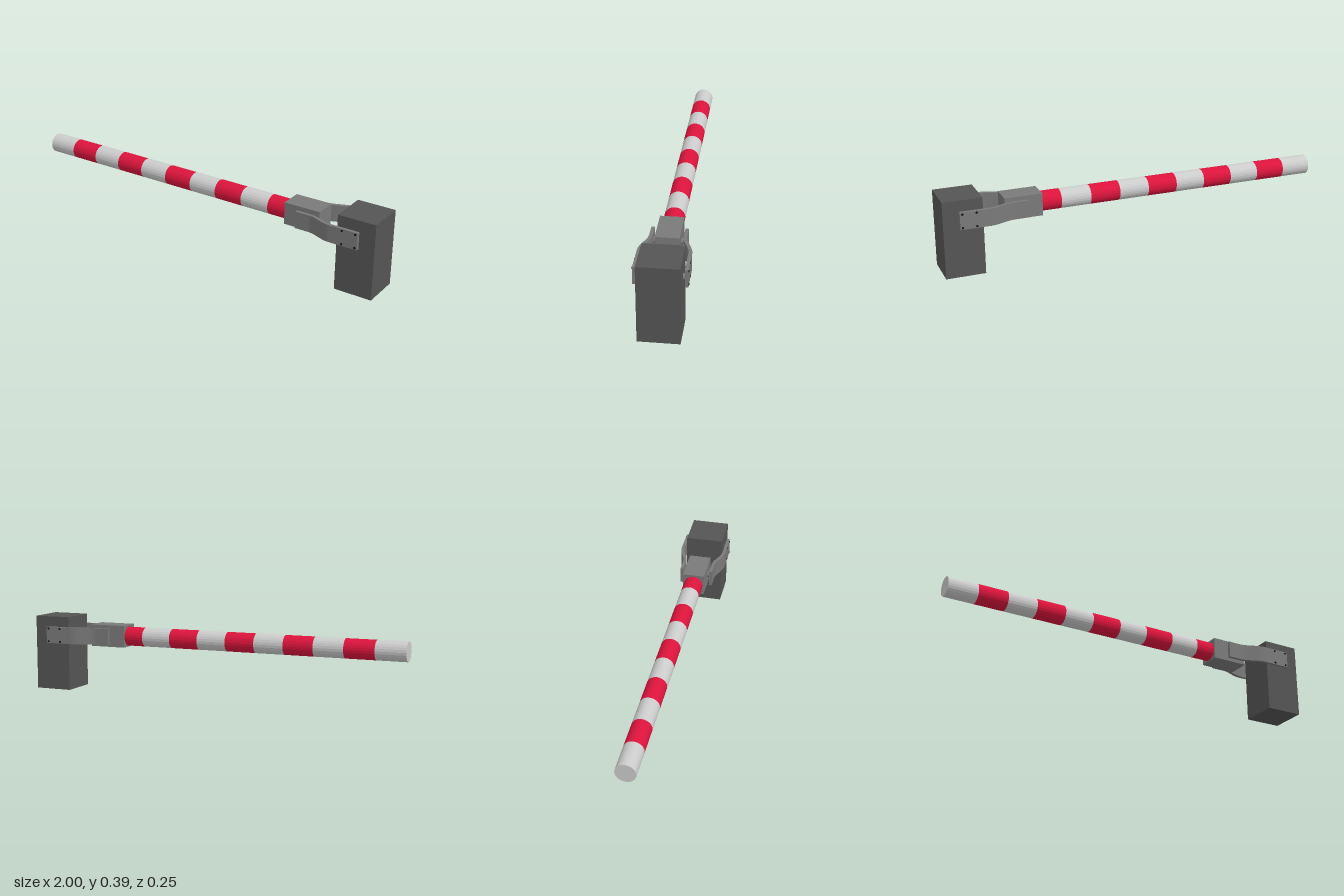
import * as THREE from 'three';

const AXIS_Y = 0.294;
const mat = (color, flat = false) => new THREE.MeshStandardMaterial({ color, flatShading: flat });

export function createModel() {
  const model = new THREE.Group();
  model.name = 'barrier';
  const white = mat(0xcccccc, true);
  const red = mat(0xdc143c, true);
  const dark = mat(0x555555);
  const steel = mat(0x7a7a7a);
  const black = mat(0x111111);

  const add = (name, geometry, material, x, y, z, parent = model) => {
    const mesh = new THREE.Mesh(geometry, material);
    mesh.name = name;
    mesh.position.set(x, y, z);
    parent.add(mesh);
    return mesh;
  };

  // Pivot post
  add('post', new THREE.BoxGeometry(0.196, 0.39, 0.196), dark, 0.902, 0.195, 0);

  // Striped pole, its last band seated in the socket
  const band = 0.1548;
  const bandGeo = new THREE.CylinderGeometry(0.05, 0.05, band, 24).rotateZ(Math.PI / 2);
  for (let i = 0; i < 10; i++) {
    add(i % 2 ? 'redBand' : 'whiteBand', bandGeo, i % 2 ? red : white, -1 + band * (i + 0.5), AXIS_Y, 0);
  }

  // Socket block holding the pole
  add('socket', new THREE.BoxGeometry(0.192, 0.114, 0.114), steel, 0.591, AXIS_Y + 0.002, 0);

  // Cross pins through the socket and the post
  const pin = (name, x, length) =>
    add(name, new THREE.CylinderGeometry(0.015, 0.015, length, 24).rotateX(Math.PI / 2), steel, x, AXIS_Y - 0.001, 0);
  pin('socketPin', 0.612, 0.15);
  pin('postPin', 0.902, 0.22);

  // Cranked side arms, with four bolts each
  const height = 0.087;
  const t = 0.016;
  for (const side of [1, -1]) {
    const arm = new THREE.Group();
    arm.name = side > 0 ? 'frontArm' : 'backArm';
    model.add(arm);

    const near = 0.071, far = 0.1075;
    const shape = new THREE.Shape();
    const p = (z) => -side * z;
    shape.moveTo(0.572, p(near));
    shape.lineTo(0.65, p(near));
    shape.bezierCurveTo(0.69, p(near), 0.735, p(far), 0.78, p(far));
    shape.lineTo(0.923, p(far));
    shape.lineTo(0.923, p(far + t));
    shape.lineTo(0.775, p(far + t));
    shape.bezierCurveTo(0.73, p(far + t), 0.685, p(near + t), 0.645, p(near + t));
    shape.lineTo(0.572, p(near + t));
    shape.closePath();
    const geo = new THREE.ExtrudeGeometry(shape, { depth: height, bevelEnabled: false, curveSegments: 10 });
    geo.rotateX(-Math.PI / 2);
    add('armPlate', geo, steel, 0, AXIS_Y - height / 2, 0, arm);

    const boltGeo = new THREE.CylinderGeometry(0.0055, 0.0055, 0.006, 12).rotateX(Math.PI / 2);
    for (const x of [0.842, 0.911]) {
      for (const dy of [-0.034, 0.034]) {
        add('bolt', boltGeo, black, x, AXIS_Y + dy, side * 0.1225, arm);
      }
    }
  }
  return model;
}
